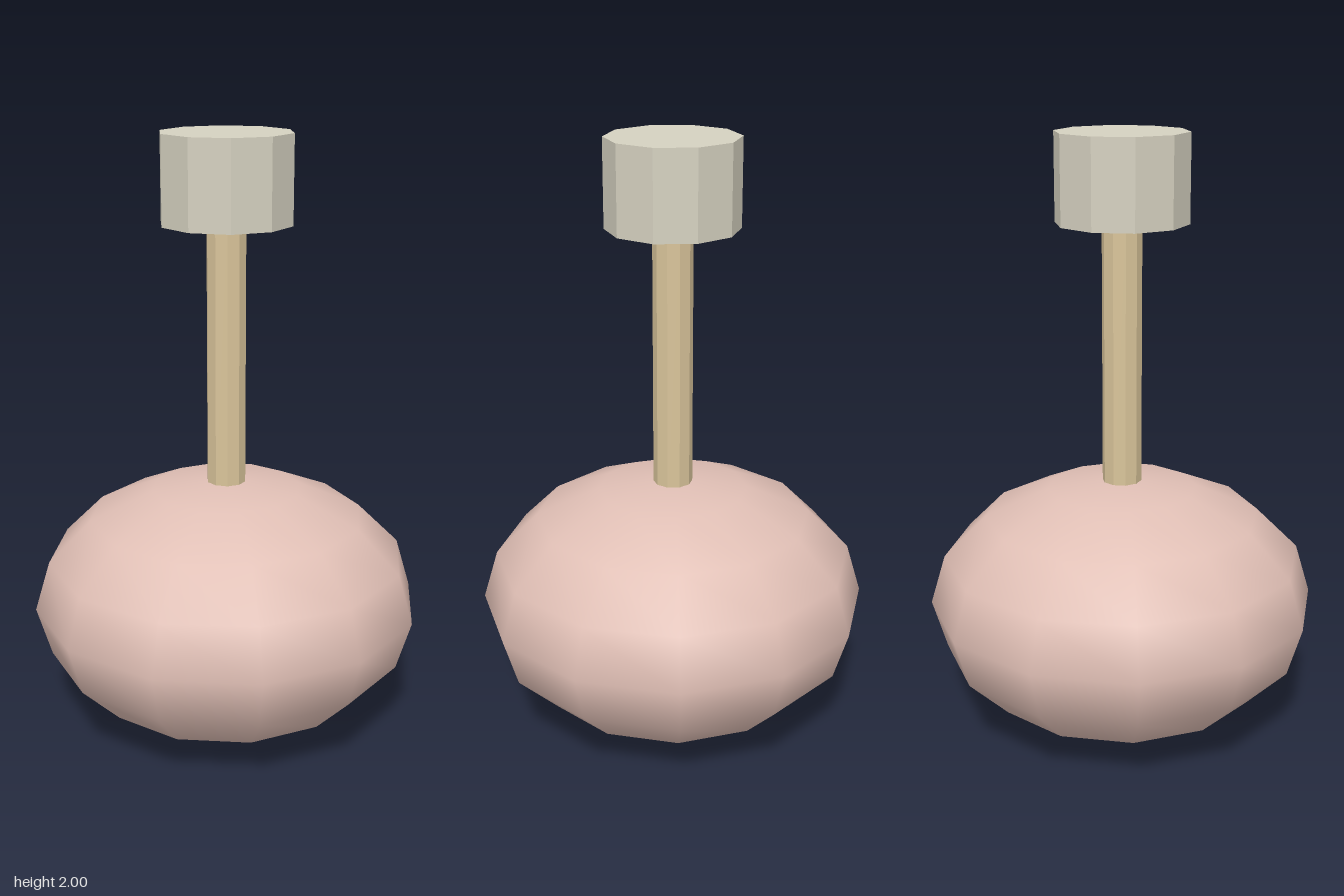
import * as THREE from 'three';

function part(name, geometry, color, y, flatShading) {
  const mesh = new THREE.Mesh(geometry, new THREE.MeshStandardMaterial({ color, flatShading }));
  mesh.name = name;
  mesh.position.y = y;
  return mesh;
}

// Ten-sided upright cylinder between two heights
function post(name, radius, bottom, top, color) {
  const geometry = new THREE.CylinderGeometry(radius, radius, top - bottom, 10);
  return part(name, geometry, color, (bottom + top) / 2, true);
}

export function createModel() {
  const group = new THREE.Group();
  group.name = 'model';

  // Squashed round body, smooth shaded
  const body = part('body', new THREE.SphereGeometry(0.65, 12, 8), 0xe0bfb5, 0.433, false);
  body.scale.y = 0.433 / 0.65;

  // Thin stem set into the body, with a wide knob on top
  group.add(
    body,
    post('stem', 0.065, 0.8, 1.73, 0xd9c49a),
    post('knob', 0.216, 1.715, 2, 0xd5d1c0)
  );
  return group;
}
